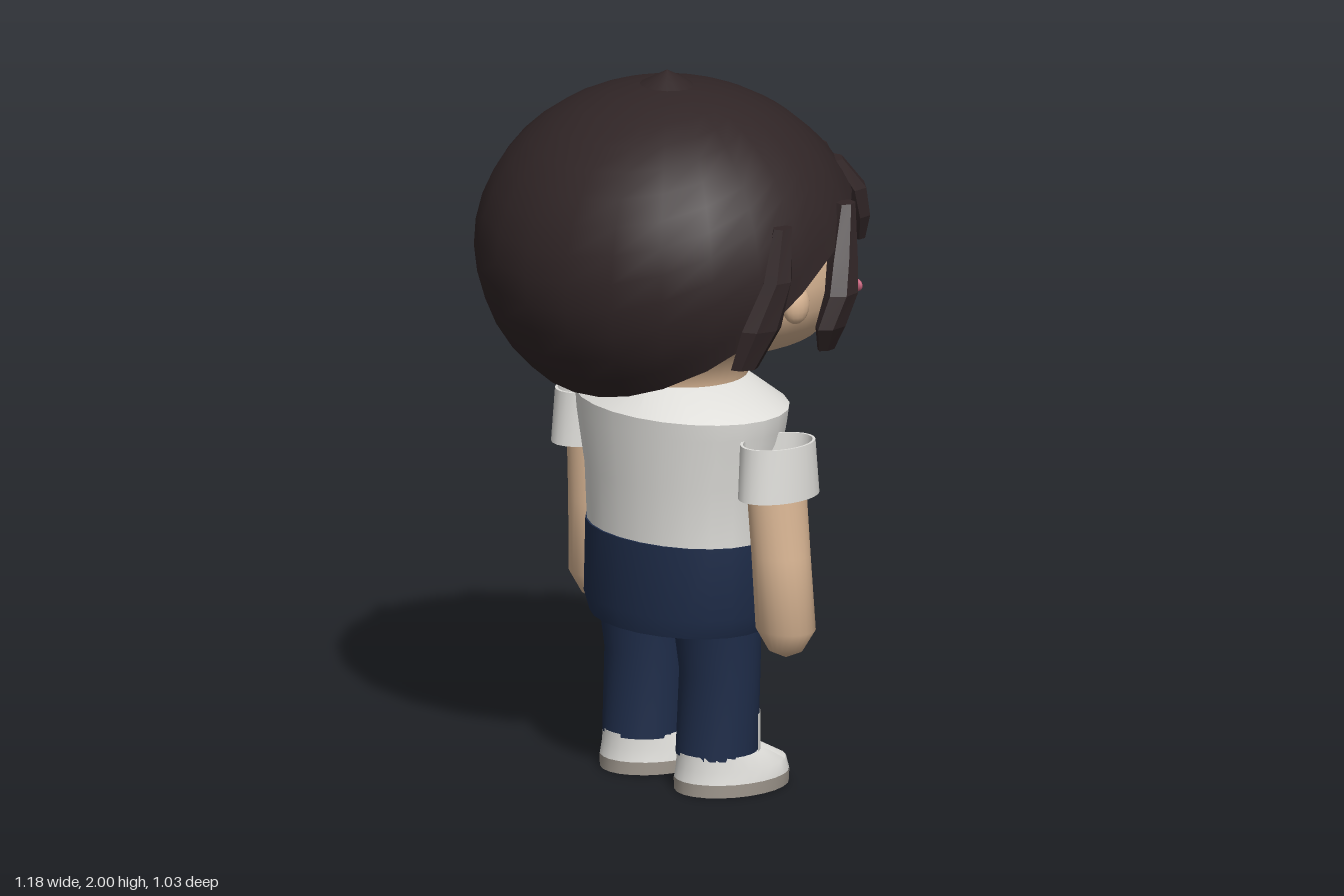
import * as THREE from 'three';
import { toCreasedNormals } from 'three/addons/utils/BufferGeometryUtils.js';

const flat = (name, color) => Object.assign(new THREE.MeshStandardMaterial({ color }), { name });
const V = (x, y, z) => new THREE.Vector3(x, y, z);

// Piecewise linear lookup in a list of [key, value]
function lookup(table, k) {
  if (k <= table[0][0]) return table[0][1];
  for (let i = 1; i < table.length; i++) {
    const [k0, v0] = table[i - 1], [k1, v1] = table[i];
    if (k <= k1) return v0 + (v1 - v0) * (k - k0) / (k1 - k0);
  }
  return table[table.length - 1][1];
}

// Skin over closed rings of points, listed from bottom to top
function skin(rings, crease = 0.7) {
  const n = rings[0].length, pos = [], idx = [];
  rings.forEach(r => r.forEach(p => pos.push(p.x, p.y, p.z)));
  for (let j = 0; j + 1 < rings.length; j++) {
    for (let i = 0; i < n; i++) {
      const a = j * n + i, b = j * n + (i + 1) % n;
      idx.push(a, b, b + n, a, b + n, a + n);
    }
  }
  const g = new THREE.BufferGeometry();
  g.setAttribute('position', new THREE.Float32BufferAttribute(pos, 3));
  g.setIndex(idx);
  return toCreasedNormals(g, crease);
}

// Elliptic rings given as [y, rx, rz, cx, cz]
function loft(rows, crease, n = 24) {
  return skin(rows.map(([y, rx, rz, cx = 0, cz = 0]) => Array.from({ length: n }, (_, i) => {
    const a = i / n * Math.PI * 2;
    return V(cx + rx * Math.sin(a), y, cz + rz * Math.cos(a));
  })), crease);
}

// Head radius and backward shift of its centre by height
const headProfile = [[1.1, 0.17], [1.145, 0.175], [1.22, 0.2], [1.255, 0.3], [1.28, 0.38], [1.345, 0.462],
  [1.4, 0.495], [1.47, 0.503], [1.54, 0.495], [1.62, 0.47], [1.7, 0.43], [1.82, 0.3], [1.9, 0]];
const headShift = y => -0.05 * THREE.MathUtils.clamp((1.4 - y) / 0.15, 0, 1);

// Thin elliptic plate wrapped on the face
function facePatch(cx, cy, rx, ry, lift, tilt = 0) {
  const g = new THREE.CircleGeometry(1, 20).scale(rx, ry, 1).rotateZ(tilt);
  const p = g.attributes.position;
  for (let i = 0; i < p.count; i++) {
    const y = cy + p.getY(i), r = lookup(headProfile, y) + lift;
    const a = (cx + p.getX(i)) / 0.5;
    p.setXYZ(i, -r * Math.sin(a), y, headShift(y) - r * Math.cos(a));
  }
  g.computeVertexNormals();
  return g;
}

// Hair cap: ellipsoid trimmed along a slanting hairline
function hairCap() {
  const hairline = [[-0.5, 1.7], [-0.37, 1.69], [-0.18, 1.6], [-0.02, 1.5], [0.26, 1.25], [0.35, 1.15]];
  const n = 24, m = 14, rings = [];
  const at = (a, t) => V(0.55 * Math.sin(t) * Math.sin(a), 1.5 + 0.465 * Math.cos(t), 0.52 * Math.sin(t) * Math.cos(a));
  const ends = Array.from({ length: n }, (_, i) => {
    let t = 0.3;
    for (; t < 3; t += 0.01) {
      const p = at(i / n * Math.PI * 2, t);
      if (p.y < lookup(hairline, p.z)) break;
    }
    return t;
  });
  for (let j = 0; j <= m; j++) rings.push(ends.map((e, i) => at(i / n * Math.PI * 2, e * (1 - j / m))));
  return skin(rings, 1);
}

// Faceted lock along points [x, y, z, halfWidth, halfThickness], top to bottom
function lock(points, s) {
  const closed = [[...points[0].slice(0, 3), 0, 0], ...points];
  const last = points[points.length - 1];
  closed.push([...last.slice(0, 3), 0, 0]);
  return skin(closed.reverse().map(([x, y, z, w, t]) => {
    const o = V(s * x, 0, z).normalize(), u = V(0, 1, 0).cross(o);
    return Array.from({ length: 6 }, (_, i) => {
      const a = (i + 0.5) / 6 * Math.PI * 2;
      return V(s * x, y, z).addScaledVector(u, w * Math.sin(a)).addScaledVector(o, t * Math.cos(a));
    });
  }), 0.2);
}

export function createModel() {
  const skinTone = flat('skin', 0xdcb896), hair = flat('dark hair', 0x302526);
  const white = flat('white cloth', 0xe0dfdb), navy = flat('navy cloth', 0x1f2d4a);
  const sole = flat('sole grey', 0xa39b91), pink = flat('pink', 0xc4607a), ink = flat('eye black', 0x191416);
  hair.side = white.side = THREE.DoubleSide;

  const model = new THREE.Group();
  model.name = 'child';
  const add = (name, geo, mat) => {
    const m = new THREE.Mesh(geo, mat);
    m.name = name;
    model.add(m);
    return m;
  };
  const ball = (name, mat, pos, size) => {
    const m = add(name, new THREE.SphereGeometry(1, 16, 10), mat);
    m.position.set(...pos);
    m.scale.set(...size);
  };

  // Head and hair
  add('head', loft(headProfile.map(([y, r]) => [y, r, r, 0, headShift(y)]), 1, 40), skinTone);
  add('hairCap', hairCap(), hair);
  add('hairWhorl', loft([[1.935, 0.13, 0.1, 0, 0.01], [1.974, 0.05, 0.05, 0, 0.01], [2, 0, 0, 0, 0.01]], 0.5, 16), hair);
  ball('nose', skinTone, [0, 1.4, -0.5], [0.016, 0.016, 0.014]);
  add('mouth', facePatch(0, 1.345, 0.028, 0.011, 0.007), pink);

  // Torso
  add('shirt', loft([[0.71, 0.295, 0.213, 0, -0.033], [0.87, 0.3, 0.225, 0, -0.036], [1.02, 0.335, 0.245, 0, -0.043],
    [1.07, 0.34, 0.25, 0, -0.045], [1.14, 0.19, 0.17, 0, -0.043], [1.14, 0, 0, 0, -0.043]]), white);
  add('shorts', loft([[0.455, 0, 0, 0, -0.033], [0.455, 0.28, 0.215, 0, -0.035], [0.51, 0.3, 0.222, 0, -0.031],
    [0.712, 0.297, 0.217, 0, -0.031], [0.712, 0, 0, 0, -0.03]]), navy);

  const locks = {
    templeLock: [[0.52, 1.67, 0.045, 0.03, 0.025], [0.54, 1.53, 0.08, 0.045, 0.035],
      [0.53, 1.4, 0.13, 0.06, 0.035], [0.5, 1.29, 0.165, 0.04, 0.025]],
    sideLock: [[0.465, 1.68, -0.23, 0.03, 0.025], [0.52, 1.55, -0.17, 0.045, 0.04],
      [0.55, 1.46, -0.14, 0.055, 0.042], [0.545, 1.37, -0.105, 0.055, 0.035], [0.52, 1.3, -0.11, 0.03, 0.02]],
    outerFringe: [[0.26, 1.74, -0.36, 0.045, 0.03], [0.29, 1.66, -0.405, 0.065, 0.04],
      [0.295, 1.58, -0.42, 0.06, 0.035], [0.29, 1.51, -0.425, 0.03, 0.02]],
    innerFringe: [[0.1, 1.74, -0.43, 0.05, 0.03], [0.12, 1.66, -0.455, 0.058, 0.035],
      [0.13, 1.58, -0.47, 0.05, 0.03], [0.13, 1.51, -0.475, 0.025, 0.018]],
  };

  for (const s of [1, -1]) {
    const side = s > 0 ? 'left' : 'right';
    for (const key in locks) add(side + ' ' + key, lock(locks[key], s), hair);

    // Face details
    ball(side + ' ear', skinTone, [s * 0.505, 1.44, -0.015], [0.032, 0.055, 0.042]);
    ball(side + ' cheek', pink, [s * 0.357, 1.4, -0.363], [0.021, 0.017, 0.009]);
    add(side + ' eye', facePatch(-s * 0.205, 1.46, 0.03, 0.06, 0.006), ink);
    add(side + ' eyeGlint', facePatch(-s * 0.192, 1.478, 0.011, 0.022, 0.009), white);
    add(side + ' eyelash', facePatch(-s * 0.215, 1.528, 0.045, 0.009, 0.008, s * 0.25), ink);

    // Arm with open sleeve
    add(side + ' sleeve', loft([[0.93, 0, 0, s * 0.385, -0.055], [0.87, 0.078, 0.11, s * 0.388, -0.055],
      [0.87, 0.088, 0.125, s * 0.388, -0.055], [1.02, 0.083, 0.115, s * 0.384, -0.055],
      [1.02, 0.076, 0.107, s * 0.384, -0.055], [0.94, 0.076, 0.107, s * 0.384, -0.055],
      [0.93, 0, 0, s * 0.385, -0.055]]), white);
    add(side + ' arm', loft([[0.408, 0, 0, s * 0.388, -0.08], [0.43, 0.05, 0.045, s * 0.388, -0.08],
      [0.49, 0.088, 0.077, s * 0.388, -0.08], [0.7, 0.078, 0.083, s * 0.38, -0.07],
      [0.92, 0.068, 0.09, s * 0.372, -0.058]], 1), skinTone);

    // Leg, sock panel and shoe
    add(side + ' leg', loft([[0.1, 0.113, 0.112, s * 0.152, -0.037], [0.33, 0.115, 0.107, s * 0.155, -0.045],
      [0.48, 0.122, 0.122, s * 0.155, -0.035]]), navy);
    const sock = add(side + ' sockPanel',
      new THREE.CylinderGeometry(0.119, 0.119, 0.115, 14, 1, true, Math.PI - 1.05, 2.1), white);
    sock.position.set(s * 0.152, 0.158, -0.037);
    add(side + ' shoe', loft([[0.035, 0.134, 0.172, s * 0.154, -0.088], [0.07, 0.128, 0.164, s * 0.154, -0.086],
      [0.11, 0.115, 0.125, s * 0.153, -0.05], [0.11, 0, 0, s * 0.153, -0.05]]), white);
    add(side + ' sole', loft([[0, 0, 0, s * 0.154, -0.088], [0, 0.132, 0.172, s * 0.154, -0.088],
      [0.036, 0.135, 0.173, s * 0.154, -0.088]]), sole);
  }
  return model;
}
